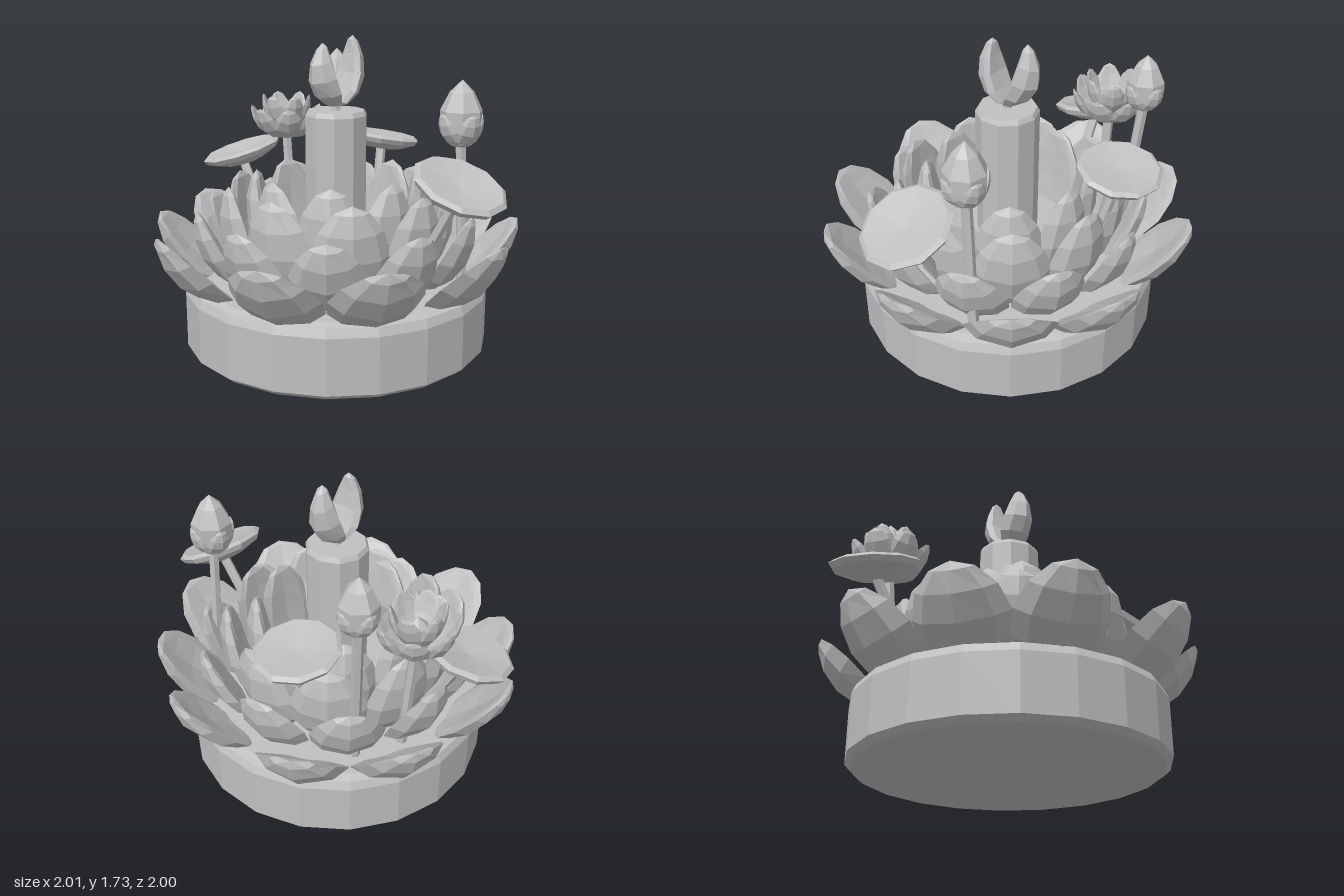
import * as THREE from 'three';

const stone = new THREE.MeshStandardMaterial({ color: 0xc0c0c0, flatShading: true });
stone.name = 'pale grey';

function add(parent, geometry, name) {
  const mesh = new THREE.Mesh(geometry, stone);
  mesh.name = name;
  parent.add(mesh);
  return mesh;
}

const lathe = (points, sides) =>
  new THREE.LatheGeometry(points.map(([r, y]) => new THREE.Vector2(r, y)), sides);

// Cupped petal running from (r0, y0) to (r1, y1) in the radius/height plane, narrowing to the tip
function petalGeometry({ r0, y0, r1, y1, w, thick = 0.05, cup = 0.06, belly = 0.04, taper = 0.35 }) {
  const g = new THREE.SphereGeometry(1, 8, 6);
  const p = g.attributes.position;
  const len = Math.hypot(r1 - r0, y1 - y0);
  const outR = (y1 - y0) / len, outY = -(r1 - r0) / len;
  for (let i = 0; i < p.count; i++) {
    const px = p.getX(i), pz = p.getZ(i), t = (p.getY(i) + 1) / 2;
    const off = belly * 4 * t * (1 - t) + thick * pz - cup * px * px;
    const width = w * (1 + taper * (0.5 - t));
    p.setXYZ(i, px * width, y0 + (y1 - y0) * t + outY * off, r0 + (r1 - r0) * t + outR * off);
  }
  g.computeVertexNormals();
  return g;
}

// Angles in degrees, evenly spaced around the circle
const evenly = (count, start) => Array.from({ length: count }, (_, i) => start + (i * 360) / count);

// Ring of equal petals around the y axis; angle 0 is the front
function petalRing(parent, name, angles, shape) {
  const ring = new THREE.Group();
  ring.name = name;
  const g = petalGeometry(shape);
  for (const a of angles) add(ring, g, 'petal').rotation.y = THREE.MathUtils.degToRad(a);
  parent.add(ring);
}

// Thin stem between two points
function stem(parent, from, to) {
  const curve = new THREE.LineCurve3(new THREE.Vector3(...from), new THREE.Vector3(...to));
  add(parent, new THREE.TubeGeometry(curve, 1, 0.029, 6), 'stem');
}

function bud(parent, [x, y, z], foot, s) {
  const g = new THREE.Group();
  g.name = 'lotusBud';
  g.position.set(x, y, z);
  g.scale.setScalar(s);
  add(g, lathe([[0, 0], [0.07, 0.02], [0.11, 0.1], [0.112, 0.19], [0.065, 0.285], [0, 0.35]], 7), 'budHeart');
  petalRing(g, 'budSepals', evenly(4, 29), { r0: 0.02, y0: 0, r1: 0.115, y1: 0.18, w: 0.075, thick: 0.02, cup: 0.03, belly: 0.03 });
  parent.add(g);
  stem(parent, foot, [x, y + 0.04, z]);
}

function leaf(parent, [x, y, z], normal, radius, foot) {
  const profile = [[0, -0.3], [0.5, -0.24], [0.93, -0.06], [1, 0.06], [0.9, 0.13], [0.45, 0.06], [0, 0]];
  const mesh = add(parent, lathe(profile.map(([r, h]) => [r * radius, h * radius]), 10), 'lotusLeaf');
  mesh.position.set(x, y, z);
  mesh.quaternion.setFromUnitVectors(new THREE.Vector3(0, 1, 0), new THREE.Vector3(...normal).normalize());
  stem(parent, foot, [x, y - 0.04, z]);
}

export function createModel() {
  const model = new THREE.Group();
  model.name = 'lotusCandle';

  // Round base and raised floor inside the petals
  add(model, lathe([[0, 0], [0.7, 0.01], [0.81, 0.03], [0.845, 0.06], [0.845, 0.36], [0.825, 0.405], [0.78, 0.42], [0, 0.42]], 20), 'base');
  add(model, lathe([[0.5, 0.4], [0.44, 0.55], [0, 0.56]], 14), 'innerFloor');

  // Outer petals, the two at the sides a little shorter
  const outer = { r0: 0.64, y0: 0.36, r1: 1.0, y1: 0.745, w: 0.245, thick: 0.052, cup: 0.07, belly: 0.065, taper: 0.2 };
  petalRing(model, 'sidePetals', [90, -91], outer);
  petalRing(model, 'outerPetals', [17, 56, 122, 163, -163, -124, -58, -17], { ...outer, r1: 1.03 });

  // Three inner petal rings
  petalRing(model, 'secondPetals', evenly(10, 0), { r0: 0.54, y0: 0.38, r1: 0.77, y1: 0.81, w: 0.2, belly: 0.055 });
  petalRing(model, 'thirdPetals', evenly(9, 11), { r0: 0.48, y0: 0.4, r1: 0.6, y1: 0.95, w: 0.21, belly: 0.055 });
  petalRing(model, 'innerPetals', evenly(8, 0), { r0: 0.35, y0: 0.42, r1: 0.44, y1: 1.0, w: 0.19, thick: 0.055, belly: 0.05 });

  // Candle with a flame of two curled tongues
  add(model, lathe([[0.17, 0.45], [0.172, 1.31], [0.158, 1.335], [0, 1.335]], 10), 'candle');
  const flame = new THREE.Group();
  flame.name = 'flame';
  model.add(flame);
  add(flame, new THREE.CylinderGeometry(0.02, 0.03, 0.08, 6).translate(0, 1.36, 0), 'wick');
  const tongue = { r0: 0, y0: 1.35, r1: 0.1, w: 0.09, thick: 0.06, cup: 0.04, belly: 0.075, taper: 0.8 };
  add(flame, petalGeometry({ ...tongue, y1: 1.7 }), 'flameTongue').rotation.y = -0.72;
  add(flame, petalGeometry({ ...tongue, r1: 0.13, y1: 1.73 }), 'flameTongue').rotation.y = 2.45;

  // Buds on stems
  bud(model, [0.66, 1.18, 0.21], [0.69, 0.42, 0.19], 1);
  bud(model, [-0.04, 1.29, -0.725], [-0.04, 0.42, -0.64], 0.9);

  // Open flower on a stem
  const flower = new THREE.Group();
  flower.name = 'lotusFlower';
  flower.position.set(-0.34, 1.07, -0.59);
  model.add(flower);
  petalRing(flower, 'flowerOuterPetals', evenly(7, 11), { r0: 0.03, y0: 0.01, r1: 0.215, y1: 0.2, w: 0.095, thick: 0.02, cup: 0.03, belly: 0.05 });
  petalRing(flower, 'flowerInnerPetals', evenly(6, 29), { r0: 0.03, y0: 0.04, r1: 0.14, y1: 0.27, w: 0.075, thick: 0.018, cup: 0.025, belly: 0.03 });
  add(flower, lathe([[0, 0], [0.06, 0.02], [0.065, 0.14], [0, 0.2]], 6), 'flowerHeart');
  stem(model, [-0.3, 0.42, -0.56], [-0.34, 1.1, -0.59]);

  // Dished leaves tilted outward, with stems rising from between the petals
  leaf(model, [-0.61, 0.99, -0.55], [-0.3, 1, 0.03], 0.245, [-0.42, 0.5, -0.4]);
  leaf(model, [0.24, 1.08, -0.58], [0.15, 1, -0.08], 0.23, [0.2, 0.5, -0.45]);
  leaf(model, [0.64, 1.03, 0.5], [0.33, 1, 0.35], 0.25, [0.42, 0.5, 0.35]);

  return model;
}
